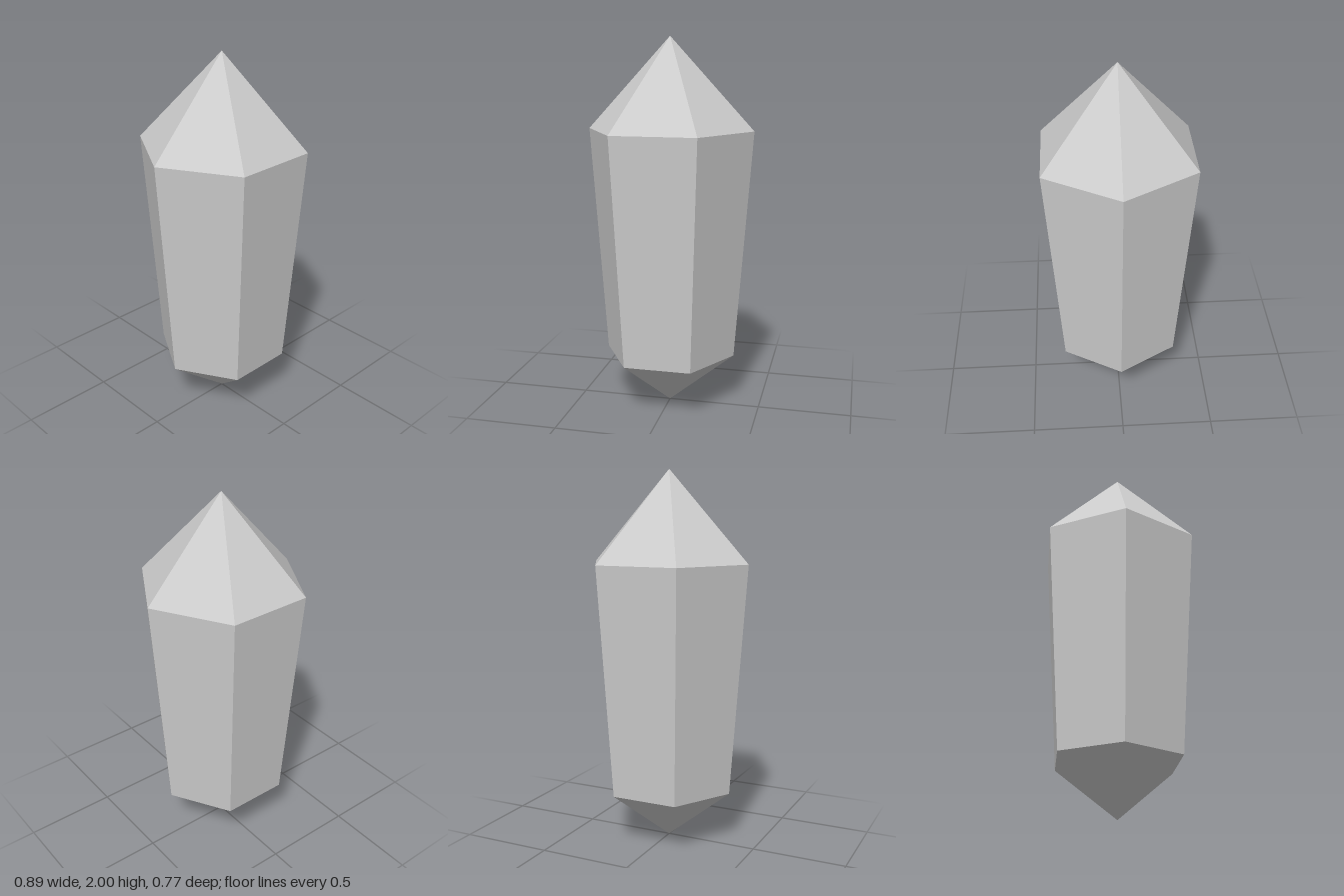
import * as THREE from 'three';

const SIDES = 6;
const LOW = { y: 0.288, r: 0.357 };
const HIGH = { y: 1.517, r: 0.447 };
const TOP = 2;

export function createModel() {
  const group = new THREE.Group();
  group.name = 'crystal';
  const material = new THREE.MeshStandardMaterial({ color: 0xcccccc, flatShading: true });

  // Open hexagonal section between two heights, with corners on the x axis
  const section = (name, y0, r0, y1, r1) => {
    const geometry = new THREE.CylinderGeometry(r1, r0, y1 - y0, SIDES, 1, true, Math.PI / 6);
    const mesh = new THREE.Mesh(geometry, material);
    mesh.position.y = (y0 + y1) / 2;
    mesh.name = name;
    group.add(mesh);
  };

  section('lowerPoint', 0, 0, LOW.y, LOW.r);
  section('taperedShaft', LOW.y, LOW.r, HIGH.y, HIGH.r);
  section('upperPoint', HIGH.y, HIGH.r, TOP, 0);

  return group;
}
